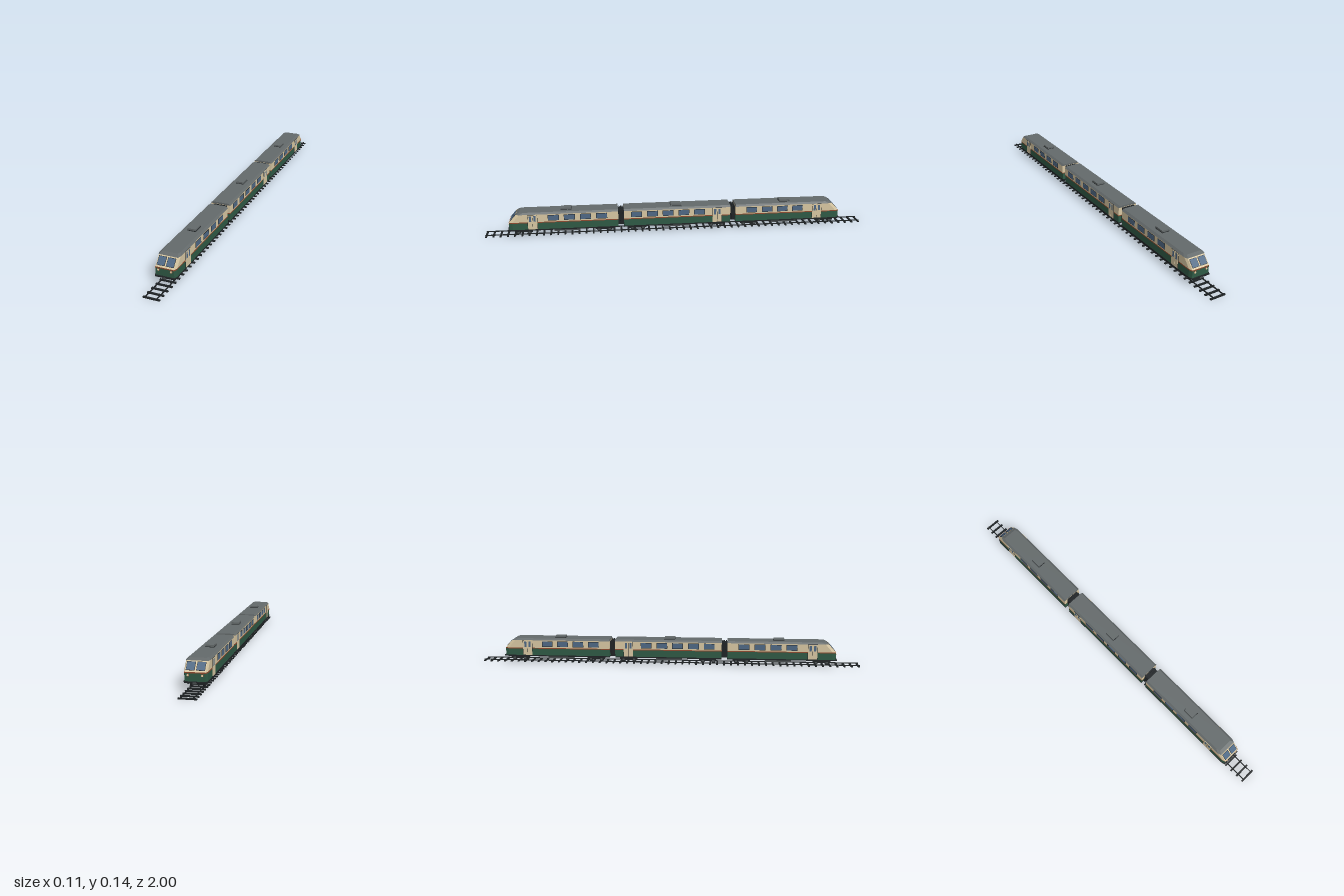
import * as THREE from 'three';

const mat = (name, color) => new THREE.MeshStandardMaterial({ name, color });

export function createModel() {
  const M = {
    green: mat('green paint', 0x2f5a45),
    cream: mat('cream paint', 0xd9c8a3),
    red: mat('rust stripe', 0x8f4a2e),
    roof: mat('roof grey', 0x646a6b),
    dark: mat('dark iron', 0x1f2325),
    glass: mat('window glass', 0x4f6985),
    box: mat('equipment grey', 0x4a4f50),
    lamp: mat('lamp', 0xf2e2b8),
  };
  const model = new THREE.Group();
  model.name = 'railcarTrain';

  const add = (parent, name, geo, material, x = 0, y = 0, z = 0) => {
    const m = new THREE.Mesh(geo, material);
    m.name = name;
    m.position.set(x, y, z);
    parent.add(m);
    return m;
  };
  const box = (parent, name, material, w, h, d, x, y, z) =>
    add(parent, name, new THREE.BoxGeometry(w, h, d), material, x, y, z);

  // Closed band between two plan outlines; a cab end gets chamfered front corners
  const outline = ([y, w, zf, zb], nose) => nose
    ? [[w, y, zf - 0.018], [w, y, zb], [-w, y, zb], [-w, y, zf - 0.018], [0.006 - w, y, zf], [w - 0.006, y, zf]]
    : [[w, y, zf], [w, y, zb], [-w, y, zb], [-w, y, zf]];
  const band = (low, high, nose) => {
    const a = outline(low, nose), b = outline(high, nose), n = a.length, p = [];
    for (let i = 0; i < n; i++) {
      const j = (i + 1) % n;
      p.push(a[i], a[j], b[j], a[i], b[j], b[i]);
      if (i > 0 && i < n - 1) p.push(b[0], b[i], b[i + 1], a[0], a[i + 1], a[i]);
    }
    const g = new THREE.BufferGeometry();
    g.setAttribute('position', new THREE.Float32BufferAttribute(p.flat(), 3));
    g.computeVertexNormals();
    return g;
  };

  // Side window with a dark frame, on both sides
  const sideWindow = (car, z) => {
    for (const s of [-1, 1]) {
      box(car, 'windowFrame', M.dark, 0.002, 0.03, 0.057, s * 0.0512, 0.102, z);
      box(car, 'windowPane', M.glass, 0.002, 0.026, 0.053, s * 0.0518, 0.102, z);
    }
  };

  // Double-leaf door, on both sides
  const door = (car, z) => {
    for (const s of [-1, 1]) {
      box(car, 'doorFrame', M.dark, 0.002, 0.08, 0.051, s * 0.0514, 0.081, z);
      for (const k of [-1, 1]) {
        box(car, 'doorLeaf', M.cream, 0.003, 0.077, 0.0235, s * 0.0522, 0.081, z + k * 0.0123);
        box(car, 'doorWindow', M.glass, 0.001, 0.03, 0.011, s * 0.0538, 0.1, z + k * 0.0115);
      }
    }
  };

  // Two-axle bogie
  const wheelGeo = new THREE.CylinderGeometry(0.012, 0.012, 0.006, 16).rotateZ(Math.PI / 2);
  const axleGeo = new THREE.CylinderGeometry(0.003, 0.003, 0.076, 8).rotateZ(Math.PI / 2);
  const bogie = (car, z) => {
    const g = new THREE.Group();
    g.name = 'bogie';
    g.position.z = z;
    car.add(g);
    box(g, 'bolster', M.dark, 0.076, 0.008, 0.022, 0, 0.032, 0);
    for (const s of [-1, 1]) {
      box(g, 'sideFrame', M.dark, 0.007, 0.008, 0.092, s * 0.039, 0.028, 0);
      add(g, 'axle', axleGeo, M.dark, 0, 0.0225, s * 0.028);
      for (const k of [-1, 1]) {
        add(g, 'wheel', wheelGeo, M.dark, k * 0.028, 0.0225, s * 0.028);
        box(g, 'axleBox', M.box, 0.006, 0.009, 0.012, k * 0.04, 0.0235, s * 0.028);
      }
    }
  };

  // Coach shell; with a nose the front end is a raked cab
  const coach = (name, zf, zb, nose, windows, doorZ, bogies) => {
    const car = new THREE.Group();
    car.name = name;
    model.add(car);
    const rake = nose ? 0.037 : 0, mid = nose ? 0.58 : 0.006;
    const lip = nose ? 0.007 : 0, cap = nose ? 0.018 : 0;
    const part = (n, m, low, high) => add(car, n, band(low, high, nose), m);
    part('skirt', M.dark, [0.035, 0.052, zf + lip, zb], [0.041, 0.052, zf + lip, zb]);
    part('lowerBody', M.green, [0.041, 0.051, zf, zb], [0.076, 0.051, zf, zb]);
    part('waistStripe', M.red, [0.076, 0.0516, zf + 0.001, zb], [0.081, 0.0516, zf + 0.001, zb]);
    part('upperBody', M.cream, [0.081, 0.051, zf, zb], [0.122, 0.051, zf - rake, zb]);
    part('roof', M.roof, [0.122, 0.0525, zf - rake, zb], [0.131, 0.043, zf - rake - cap, zb]);
    box(car, 'roofUnitBase', M.dark, 0.042, 0.002, 0.058, 0, 0.132, mid);
    box(car, 'roofUnit', M.roof, 0.039, 0.01, 0.054, 0, 0.137, mid);
    box(car, 'underfloorBox', M.box, 0.07, 0.014, 0.135, 0, 0.028, mid - 0.003);
    windows.forEach((z) => sideWindow(car, z));
    bogies.forEach((z) => bogie(car, z));
    door(car, doorZ);
    return car;
  };

  // Cab face: windscreens on the raked panel, headlights and coupler
  const cabFace = (car) => {
    const screen = new THREE.Group();
    screen.name = 'windscreen';
    screen.position.set(0, 0.1025, 0.8526);
    screen.rotation.x = -Math.atan2(0.037, 0.041);
    car.add(screen);
    const lampGeo = new THREE.CylinderGeometry(0.0045, 0.0045, 0.004, 16).rotateX(Math.PI / 2);
    const rimGeo = new THREE.CylinderGeometry(0.006, 0.006, 0.003, 16).rotateX(Math.PI / 2);
    for (const s of [-1, 1]) {
      box(screen, 'windscreenFrame', M.dark, 0.038, 0.042, 0.002, s * 0.0222, 0, 0.0004);
      box(screen, 'windscreenPane', M.glass, 0.035, 0.039, 0.002, s * 0.0222, 0, 0.001);
      add(car, 'headlightRim', rimGeo, M.red, s * 0.031, 0.068, 0.8725);
      add(car, 'headlight', lampGeo, M.lamp, s * 0.031, 0.068, 0.8735);
    }
    box(car, 'coupler', M.box, 0.016, 0.007, 0.02, 0, 0.035, 0.872);
  };

  const cabWindows = [0.645, 0.563, 0.48, 0.397];
  for (const end of ['frontCar', 'rearCar']) {
    const car = coach(end, 0.872, 0.311, true, cabWindows, 0.752, [0.8, 0.385]);
    cabFace(car);
    if (end === 'rearCar') car.rotation.y = Math.PI;
  }
  coach('middleCar', 0.281, -0.281, false, [0.216, 0.133, 0.05, -0.033, -0.116], -0.211, [0.21, -0.21]);

  // Ribbed gangways between the cars
  for (const s of [-1, 1]) {
    box(model, 'gangway', M.dark, 0.06, 0.07, 0.03, 0, 0.083, s * 0.296);
    for (let i = -1; i <= 1; i++)
      box(model, 'gangwayRib', M.dark, 0.07, 0.078, 0.005, 0, 0.083, s * 0.296 + i * 0.009);
    box(model, 'drawbar', M.dark, 0.014, 0.008, 0.04, 0, 0.038, s * 0.296);
  }

  // Track
  for (const s of [-1, 1]) box(model, 'rail', M.dark, 0.004, 0.005, 2, s * 0.027, 0.0083, 0);
  const sleeperGeo = new THREE.BoxGeometry(0.08, 0.006, 0.009);
  for (let i = 0; i <= 54; i++)
    add(model, 'sleeper', sleeperGeo, M.dark, 0, 0.003, -0.9955 + (i * 1.991) / 54);

  return model;
}
